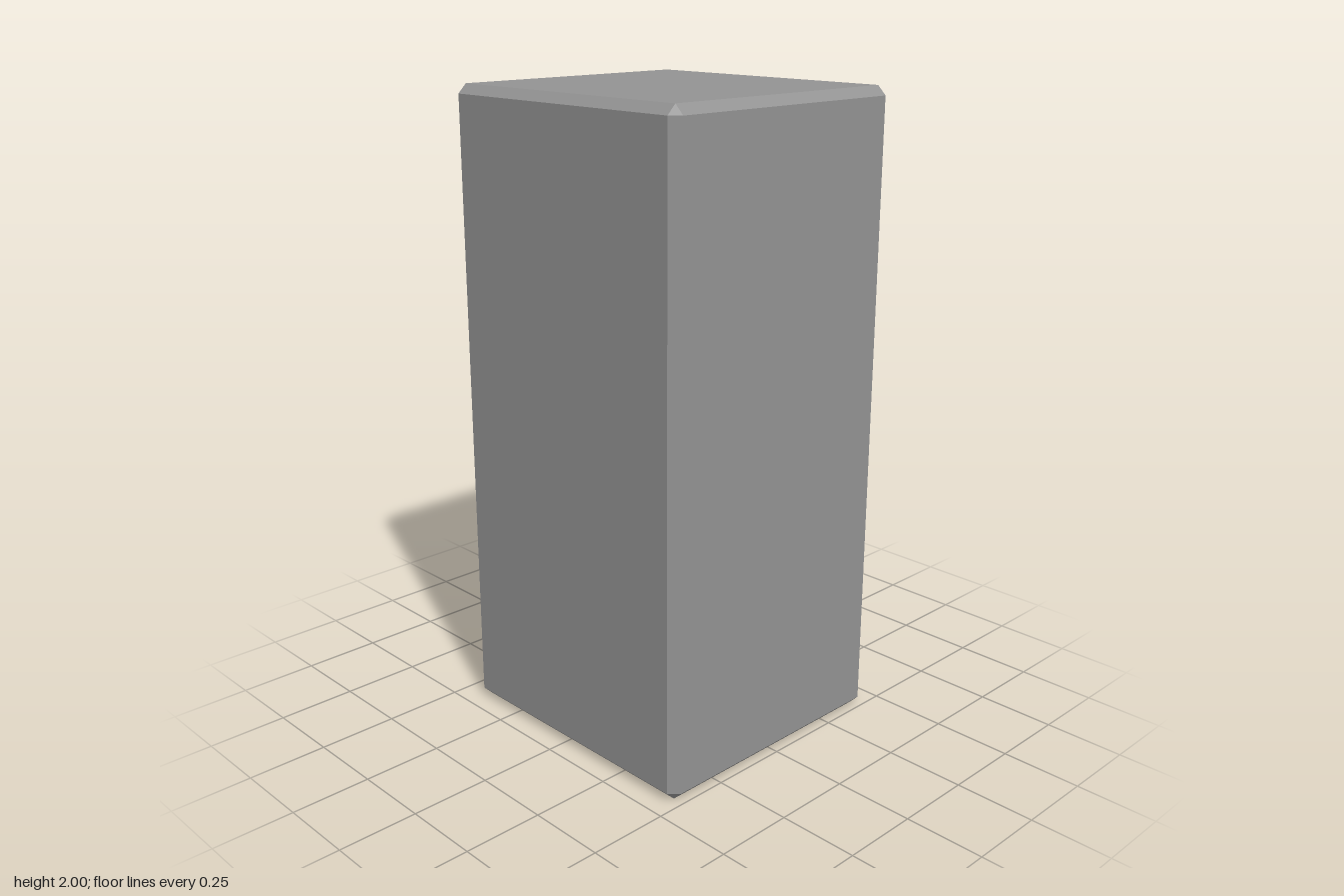
import * as THREE from 'three';
import { ConvexGeometry } from 'three/addons/geometries/ConvexGeometry.js';

// Box with every edge cut at 45 degrees: the hull of 24 corner points
function chamferBox(w, h, d, c) {
  const points = [];
  for (const x of [-1, 1]) for (const y of [-1, 1]) for (const z of [-1, 1]) {
    for (let full = 0; full < 3; full++) {
      const p = [w, h, d].map((size, axis) => size / 2 - (axis === full ? 0 : c));
      points.push(new THREE.Vector3(p[0] * x, p[1] * y, p[2] * z));
    }
  }
  return new ConvexGeometry(points);
}

export function createModel() {
  const model = new THREE.Group();
  model.name = 'filingCabinet';
  const darkGrey = new THREE.MeshStandardMaterial({ color: 0x949494, flatShading: true });
  const yellow = new THREE.MeshStandardMaterial({ color: 0xe7e705, flatShading: true });

  const add = (parent, name, geometry, material, x, y, z) => {
    const mesh = new THREE.Mesh(geometry, material);
    mesh.name = name;
    mesh.position.set(x, y, z);
    parent.add(mesh);
  };

  // Cabinet body
  add(model, 'cabinetBody', chamferBox(0.876, 2, 0.934, 0.028), darkGrey, 0, 1, 0.023);

  // Four equal drawers on the back side, each with a bar handle set into its panel
  const panel = new THREE.BoxGeometry(0.708, 0.416, 0.04);
  const handle = chamferBox(0.41, 0.034, 0.052, 0.008);
  for (let i = 0; i < 4; i++) {
    const drawer = new THREE.Group();
    drawer.name = `drawer${i + 1}`;
    drawer.position.y = 0.251 + i * 0.5;
    add(drawer, 'drawerFront', panel, yellow, 0, 0, -0.441);
    add(drawer, 'drawerHandle', handle, yellow, 0, 0, -0.466);
    model.add(drawer);
  }
  return model;
}
